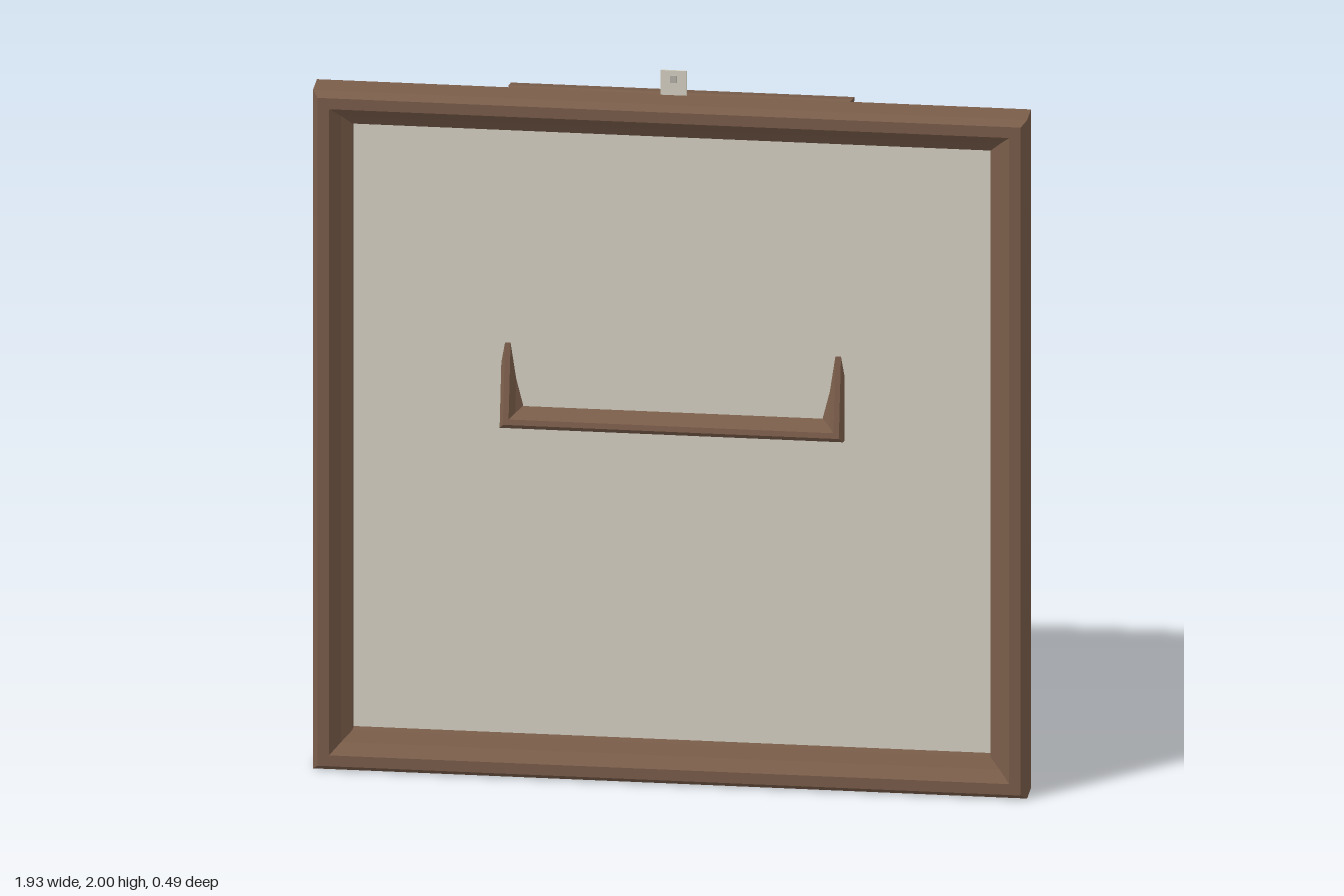
import * as THREE from 'three';

const wood = new THREE.MeshStandardMaterial({ color: 0x7a5d4a });
wood.name = 'brown wood';
wood.flatShading = true;
const panelMat = new THREE.MeshStandardMaterial({ color: 0xd6d2c3 });
panelMat.name = 'pale panel';
const metal = new THREE.MeshStandardMaterial({ color: 0xb4b2a8 });
metal.name = 'grey metal';

// Mitred frame: sweeps a closed profile of [inset, z] points round a rectangle
function mitredFrame(halfW, halfH, profile) {
  const corners = [[1, -1], [1, 1], [-1, 1], [-1, -1]];
  const at = (c, p) => [
    corners[c % 4][0] * (halfW - p[0]),
    corners[c % 4][1] * (halfH - p[0]),
    p[1],
  ];
  const pos = [];
  for (let c = 0; c < 4; c++) {
    profile.forEach((p, j) => {
      const q = profile[(j + 1) % profile.length];
      const a = at(c, p), b = at(c + 1, p), d = at(c, q), e = at(c + 1, q);
      pos.push(...a, ...b, ...d, ...b, ...e, ...d);
    });
  }
  const g = new THREE.BufferGeometry();
  g.setAttribute('position', new THREE.Float32BufferAttribute(pos, 3));
  g.computeVertexNormals();
  return g;
}

function add(parent, name, geometry, material, x, y, z) {
  const mesh = new THREE.Mesh(geometry, material);
  mesh.name = name;
  mesh.position.set(x, y, z);
  parent.add(mesh);
  return mesh;
}

export function createModel() {
  const model = new THREE.Group();
  model.name = 'pictureFrames';

  // Large wall frame with chamfered rim, coved inside and rebated back
  const large = new THREE.Group();
  large.name = 'largeFrame';
  large.position.set(0, 0.965, 0.14);
  model.add(large);
  add(large, 'largeMoulding', mitredFrame(0.963, 0.965, [
    [0, 0], [0, 0.085], [0.015, 0.105], [0.046, 0.105], [0.075, 0.075],
    [0.102, 0.055], [0.102, 0.021], [0.087, 0.021], [0.087, 0],
  ]), wood, 0, 0, 0);
  add(large, 'largePanel', new THREE.BoxGeometry(1.75, 1.755, 0.008), panelMat, 0, 0, 0.017);

  // Hanging tab and its stud
  add(model, 'hangingTab', new THREE.BoxGeometry(0.07, 0.07, 0.005), panelMat, 0, 1.965, 0.145);
  add(model, 'tabStud', new THREE.BoxGeometry(0.018, 0.02, 0.012), metal, 0, 1.977, 0.147);

  // Small desk frame leaning back through the large panel
  const small = new THREE.Group();
  small.name = 'smallFrame';
  small.position.set(0, 0.97, 0.145);
  small.rotation.x = -0.21;
  model.add(small);
  add(small, 'smallMoulding', mitredFrame(0.463, 0.463, [
    [0, 0], [0, 0.054], [0.01, 0.066], [0.025, 0.066], [0.04, 0.045],
    [0.058, 0.03], [0.058, 0.016], [0.05, 0.016], [0.05, 0],
  ]), wood, 0, 0.463, 0);
  add(small, 'smallPanel', new THREE.BoxGeometry(0.83, 0.83, 0.006), panelMat, 0, 0.463, 0.013);

  // Easel leg behind the small frame
  const leg = add(model, 'easelLeg', new THREE.BoxGeometry(0.16, 0.65, 0.014), wood, 0, 1.27, -0.113);
  leg.rotation.x = Math.atan2(0.25, 0.6);

  return model;
}
